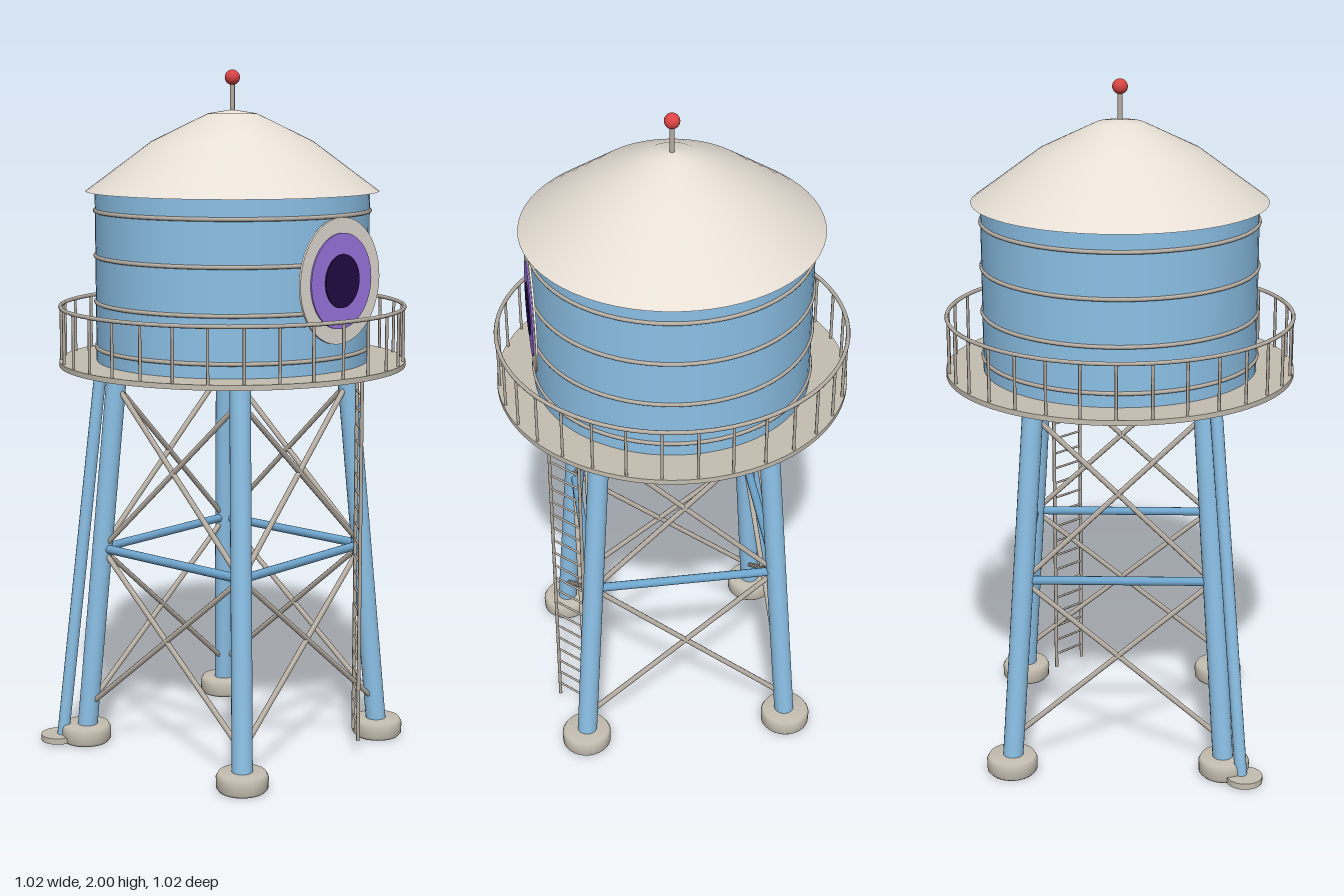
import * as THREE from 'three';

const mat = (name, color) => {
  const m = new THREE.MeshStandardMaterial({ color });
  m.name = name;
  return m;
};

export function createModel() {
  const root = new THREE.Group();
  root.name = 'waterTower';
  const blue = mat('blue paint', 0x8dc2e8);
  const girderBlue = mat('girder blue', 0x6fa6ce);
  const cream = mat('cream roof', 0xebe3d9);
  const stone = mat('warm grey', 0xc5beb1);
  const metal = mat('grey metal', 0xb8b0a5);
  const white = mat('eye white', 0xf2ebe1);
  const purple = mat('purple iris', 0xa67ef2);
  const dark = mat('dark pupil', 0x220b44);
  const red = mat('red beacon', 0xdc4545);

  const V = (x, y, z) => new THREE.Vector3(x, y, z);
  const add = (parent, name, geo, material, x = 0, y = 0, z = 0) => {
    const m = new THREE.Mesh(geo, material);
    m.name = name;
    m.position.set(x, y, z);
    parent.add(m);
    return m;
  };
  const group = (name) => {
    const g = new THREE.Group();
    g.name = name;
    root.add(g);
    return g;
  };
  // round bar between two points
  const bar = (parent, name, a, b, r, material, sides = 8) => {
    const d = b.clone().sub(a);
    const m = add(parent, name, new THREE.CylinderGeometry(r, r, d.length(), sides), material);
    m.position.copy(a).add(b).multiplyScalar(0.5);
    m.quaternion.setFromUnitVectors(V(0, 1, 0), d.normalize());
  };
  const lathe = (pts, seg = 64) =>
    new THREE.LatheGeometry(pts.map(([x, y]) => new THREE.Vector2(x, y)), seg);
  const hoop = (parent, name, radius, tube, y) => {
    const m = add(parent, name, new THREE.TorusGeometry(radius, tube, 8, 72), metal, 0, y, 0);
    m.rotation.x = Math.PI / 2;
  };

  // tank with dished bottom and hoops
  const tank = group('tank');
  add(tank, 'tankWall', new THREE.CylinderGeometry(0.398, 0.398, 0.5, 64, 1, true), blue, 0, 1.405, 0);
  add(tank, 'tankBottom', lathe([[0, 1.092], [0.1, 1.098], [0.2, 1.115], [0.3, 1.14], [0.398, 1.165]]), blue);
  for (const y of [1.205, 1.337, 1.47, 1.6]) hoop(tank, 'tankHoop', 0.398, 0.006, y);

  // roof, mast and beacon
  const roof = group('roof');
  add(roof, 'roofCone', lathe([[0.425, 1.655], [0.233, 1.797], [0.07, 1.876], [0, 1.887]]), cream);
  add(roof, 'roofUnderside', lathe([[0, 1.654], [0.425, 1.654]]), cream);
  bar(roof, 'mast', V(0, 1.87, 0), V(0, 1.975, 0), 0.007, metal);
  add(roof, 'beacon', new THREE.SphereGeometry(0.022, 20, 14), red, 0, 1.978, 0);

  // walkway ring
  const walkway = group('walkway');
  const ring = new THREE.Shape().absarc(0, 0, 0.507, 0, Math.PI * 2, false);
  ring.holes.push(new THREE.Path().absarc(0, 0, 0.385, 0, Math.PI * 2, true));
  const deck = add(walkway, 'deck', new THREE.ExtrudeGeometry(ring, { depth: 0.015, bevelEnabled: false, curveSegments: 64 }), stone, 0, 1.165, 0);
  deck.rotation.x = Math.PI / 2;

  // railing
  hoop(walkway, 'topRail', 0.502, 0.006, 1.322);
  const posts = 32;
  for (let i = 0; i < posts; i++) {
    const a = (i / posts) * Math.PI * 2;
    const x = 0.5 * Math.cos(a), z = 0.5 * Math.sin(a);
    bar(walkway, 'railPost', V(x, 1.16, z), V(x, 1.322, z), 0.0045, metal, 6);
  }

  // four leaning legs on round footings
  const frame = group('frame');
  const half = (y) => 0.3135 - 0.0655 * y;
  const corners = [[1, 1], [1, -1], [-1, -1], [-1, 1]];
  const at = ([sx, sz], y) => V(sx * half(y), y, sz * half(y));
  const footing = lathe([[0, 0], [0.066, 0], [0.074, 0.009], [0.075, 0.04], [0.068, 0.053], [0, 0.054]], 28);
  corners.forEach((c, i) => {
    const next = corners[(i + 1) % 4];
    bar(frame, 'leg', at(c, 0.03), at(c, 1.15), 0.03, blue, 20);
    add(frame, 'footing', footing, stone, c[0] * 0.313, 0, c[1] * 0.313);
    // girder and crossed braces on each side
    bar(frame, 'girder', at(c, 0.597), at(next, 0.597), 0.013, girderBlue, 10);
    for (const [lo, hi] of [[0.11, 0.595], [0.595, 1.09]]) {
      bar(frame, 'brace', at(c, lo), at(next, hi), 0.008, metal);
      bar(frame, 'brace', at(next, lo), at(c, hi), 0.008, metal);
    }
  });

  // slim drain pipe with its base plate
  const drain = group('drainPipe');
  bar(drain, 'pipe', V(-0.363, 0.015, 0.363), V(-0.272, 1.15, 0.272), 0.018, blue, 14);
  add(drain, 'basePlate', new THREE.CylinderGeometry(0.053, 0.053, 0.018, 28), stone, -0.372, 0.014, 0.372);

  // ladder
  const ladder = group('ladder');
  const railA = (y) => V(0.299, y, -0.213), railB = (y) => V(0.377, y, -0.135);
  for (const rail of [railA, railB]) bar(ladder, 'ladderRail', rail(0.04), rail(1.155), 0.0055, metal, 6);
  for (let i = 0; i < 22; i++) {
    const y = 0.085 + i * 0.0495;
    bar(ladder, 'rung', railA(y), railB(y), 0.0035, metal, 6);
  }

  // round eye on the left side of the tank, as thin stacked discs
  const eye = group('eye');
  const disc = (name, r, x, material) => {
    const m = add(eye, name, new THREE.CylinderGeometry(r, r, 0.006, 48), material, x - 0.003, 1.42, 0);
    m.rotation.z = -Math.PI / 2;
  };
  disc('eyeWhite', 0.177, 0.402, white);
  disc('iris', 0.134, 0.406, purple);
  disc('pupil', 0.075, 0.41, dark);

  return root;
}
